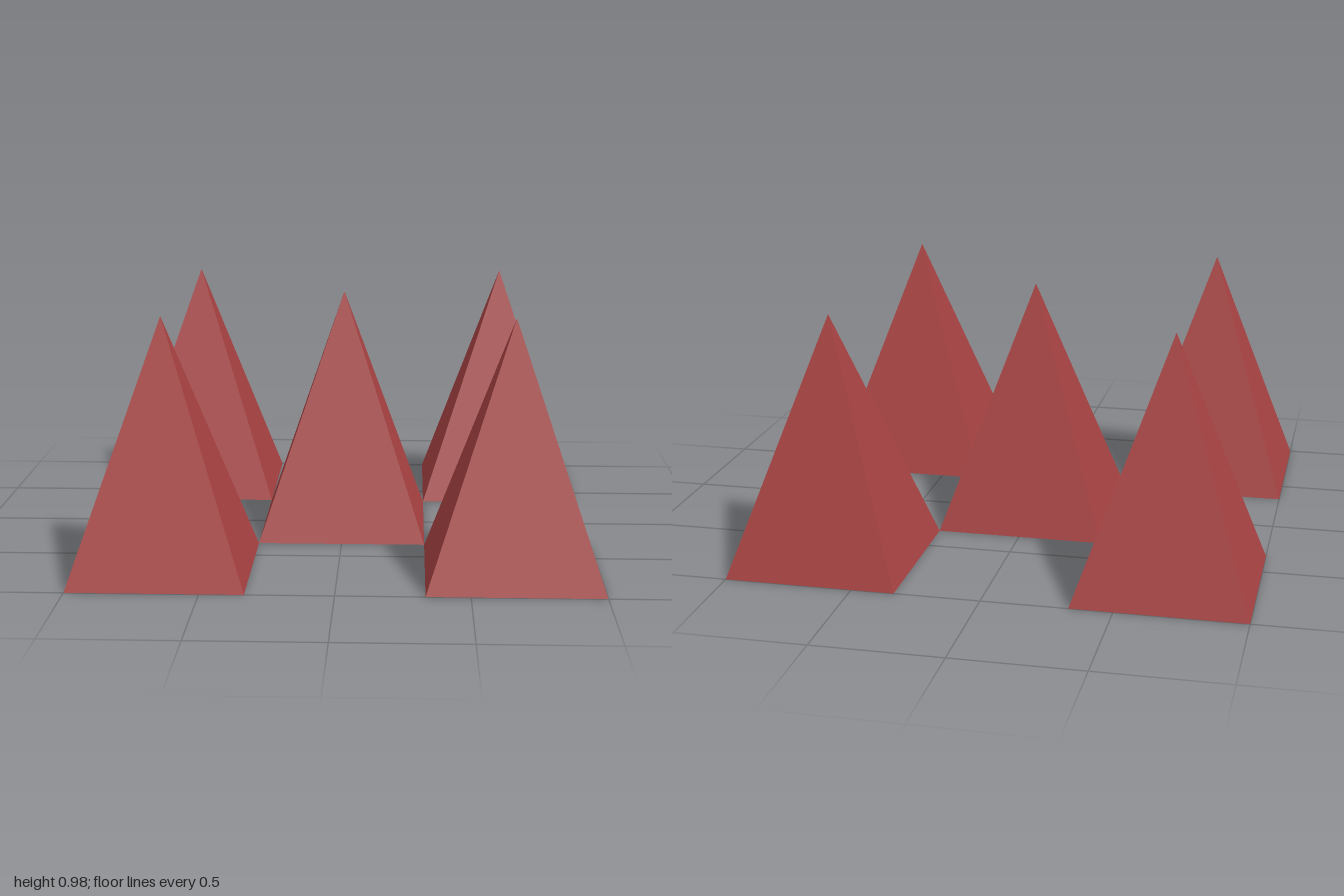
import * as THREE from 'three';

export function createModel() {
  const model = new THREE.Group();
  const third = 2 / 3;
  const height = 0.98;

  // Hollow square pyramid, open underneath, sides aligned with x and z
  const geometry = new THREE.ConeGeometry((third / 2) * Math.SQRT2, height, 4, 1, true);
  geometry.rotateY(Math.PI / 4);
  geometry.translate(0, height / 2, 0);

  const material = new THREE.MeshStandardMaterial({
    color: 0xa84242,
    flatShading: true,
    side: THREE.DoubleSide,
  });

  const addPyramid = (name, x, z) => {
    const pyramid = new THREE.Mesh(geometry, material);
    pyramid.name = name;
    pyramid.position.set(x, 0, z);
    model.add(pyramid);
  };

  // One pyramid in the centre, one on each corner of the checkerboard
  addPyramid('centrePyramid', 0, 0);
  for (const [xName, x] of [['Left', third], ['Right', -third]]) {
    addPyramid('front' + xName + 'Pyramid', x, third);
    addPyramid('back' + xName + 'Pyramid', x, -third);
  }
  return model;
}
